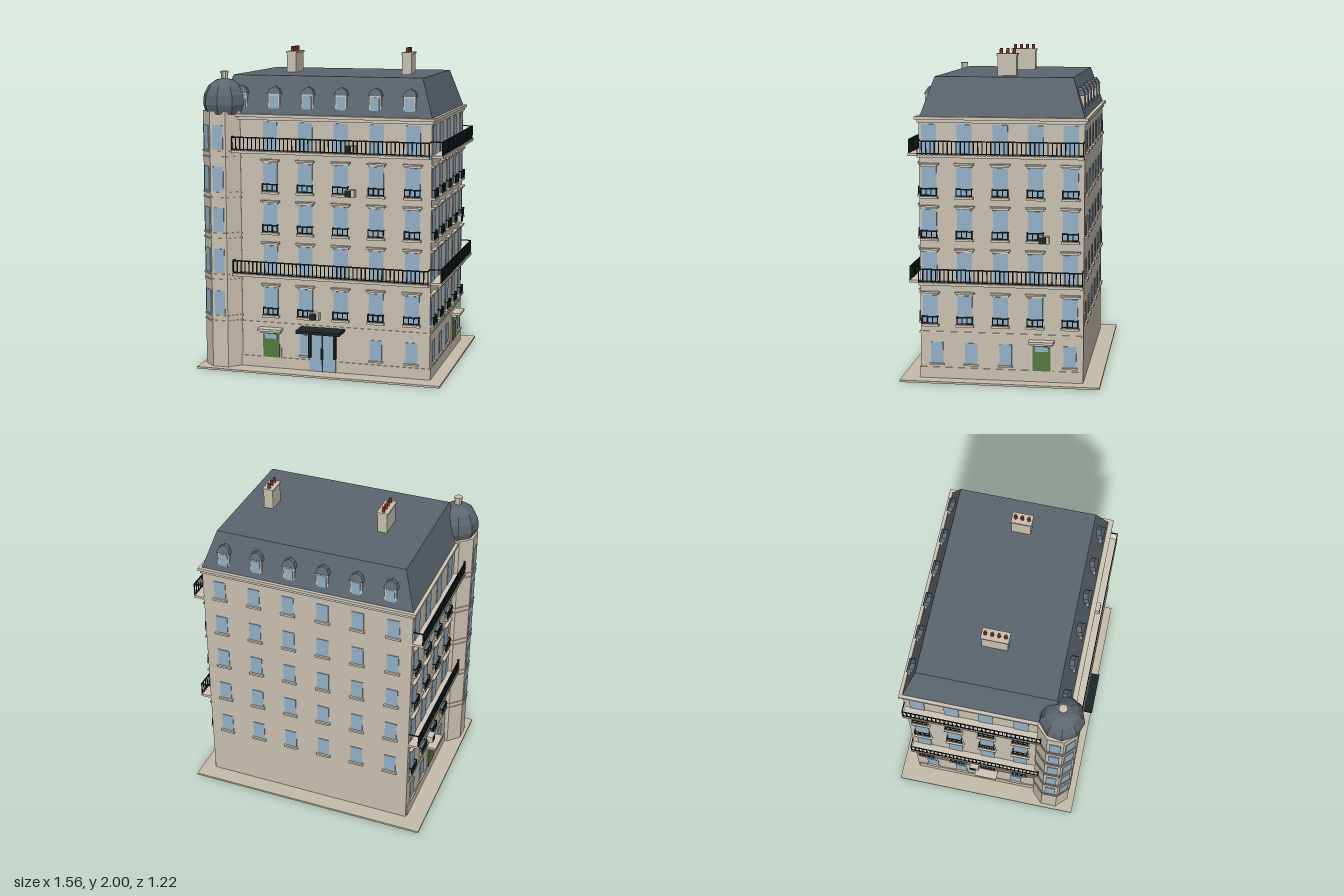
import * as THREE from 'three';
import { mergeGeometries } from 'three/addons/utils/BufferGeometryUtils.js';

const mat = (name, color, extra = {}) => Object.assign(new THREE.MeshStandardMaterial({ color, ...extra }), { name });
const stone = mat('limestone', 0xcbc1b1);
const trim = mat('pale trim', 0xd0c7b8);
const paving = mat('paving', 0xc6bdab);
const slate = mat('slate', 0x5c666f);
const glass = mat('window glass', 0x94b1c8);
const iron = mat('dark iron', 0x1c2626);
const green = mat('green paint', 0x55783f);
const clay = mat('clay pots', 0x7d3226);
slate.flatShading = true;
stone.flatShading = true;

// floor levels, wall extents
const FLOORS = [0.35, 0.615, 0.875, 1.13, 1.385];
const X0 = -0.66, X1 = 0.69, Z0 = -0.51, Z1 = 0.48;

function add(parent, name, geo, material, x = 0, y = 0, z = 0) {
  const m = new THREE.Mesh(geo, material);
  m.name = name;
  m.position.set(x, y, z);
  parent.add(m);
  return m;
}

// box given by its limits
const boxGeo = (x0, x1, y0, y1, z0, z1) =>
  new THREE.BoxGeometry(x1 - x0, y1 - y0, z1 - z0).translate((x0 + x1) / 2, (y0 + y1) / 2, (z0 + z1) / 2);
const box = (p, name, m, ...lim) => add(p, name, boxGeo(...lim), m);

// railing with posts, standing in front of the facade and returning to it
function railing(p, name, x0, x1, y, h, z, gap, t) {
  const parts = [
    boxGeo(x0, x1, y + h - t * 1.3, y + h, z - t, z),
    boxGeo(x0, x1, y + 0.004, y + 0.004 + t, z - t, z),
  ];
  const n = Math.max(2, Math.round((x1 - x0) / gap));
  for (let i = 0; i <= n; i++) {
    const x = x0 + t / 2 + (x1 - x0 - t) * i / n;
    parts.push(boxGeo(x - t / 2, x + t / 2, y, y + h, z - t, z));
  }
  for (const x of [x0, x1 - t]) parts.push(boxGeo(x, x + t, y + h - t, y + h, 0, z));
  add(p, name, mergeGeometries(parts), iron);
}

function tallWindow(p, x, f, level) {
  box(p, 'windowGlass', glass, x - 0.045, x + 0.045, f, f + 0.175, 0, 0.004);
  const balcony = level === 1 || level === 4;
  if (level < 4) {
    box(p, 'windowHood', trim, x - 0.06, x + 0.06, f + 0.19, f + 0.2, 0, 0.022);
    box(p, 'hoodBase', trim, x - 0.05, x + 0.05, f + 0.178, f + 0.19, 0, 0.012);
  }
  if (!balcony) {
    box(p, 'windowSill', trim, x - 0.055, x + 0.055, f - 0.014, f, 0, 0.024);
    railing(p, 'windowRail', x - 0.05, x + 0.05, f, 0.05, 0.022, 0.033, 0.006);
  }
}

function groundWindow(p, x) {
  box(p, 'groundGlass', glass, x - 0.038, x + 0.038, 0.105, 0.235, 0, 0.004);
  box(p, 'groundSill', trim, x - 0.045, x + 0.045, 0.095, 0.105, 0, 0.015);
}

function greenDoor(p, x) {
  box(p, 'doorSurround', trim, x - 0.065, x + 0.065, 0.08, 0.25, 0, 0.006);
  box(p, 'doorLeaf', green, x - 0.054, x + 0.054, 0.08, 0.235, 0, 0.01);
  box(p, 'doorLight', glass, x - 0.04, x + 0.04, 0.2, 0.23, 0.01, 0.013);
  box(p, 'doorHood', trim, x - 0.075, x + 0.075, 0.255, 0.27, 0, 0.06);
  box(p, 'doorHoodBase', trim, x - 0.065, x + 0.065, 0.24, 0.255, 0, 0.035);
}

function airUnit(p, x, y) {
  box(p, 'airUnit', trim, x - 0.03, x + 0.03, y - 0.022, y + 0.022, 0.005, 0.045);
  box(p, 'airUnitFan', iron, x - 0.028, x + 0.012, y - 0.019, y + 0.019, 0.045, 0.049);
}

// decorated street facade, local +z pointing outwards
function streetFacade(p, cols, grounds, doorX, b0, b1, units) {
  FLOORS.forEach((f, level) => {
    cols.forEach((x) => tallWindow(p, x, f, level));
    if (level === 1 || level === 4) {
      box(p, 'balconySlab', trim, b0, b1, f - 0.016, f, 0, 0.07);
      railing(p, 'balconyRail', b0, b1, f, 0.085, 0.066, 0.026, 0.006);
    }
  });
  grounds.forEach((x) => groundWindow(p, x));
  greenDoor(p, doorX);
  units.forEach(([x, y]) => airUnit(p, x, y));
}

// dormer with a hipped roof, local z = 0 at its front
function dormer(p, x) {
  const g = new THREE.Group();
  g.name = 'dormer';
  g.position.x = x;
  p.add(g);
  box(g, 'dormerBody', trim, -0.037, 0.037, 1.62, 1.73, -0.08, -0.006);
  box(g, 'dormerGlass', glass, -0.027, 0.027, 1.64, 1.72, -0.006, -0.003);
  const s = new THREE.Shape([[-0.045, 0], [0.045, 0], [0.03, 0.03], [0, 0.045], [-0.03, 0.03]].map((c) => new THREE.Vector2(...c)));
  const geo = new THREE.ExtrudeGeometry(s, { depth: 0.085, bevelEnabled: false });
  const q = geo.attributes.position;
  for (let i = 0; i < q.count; i++) if (q.getZ(i) > 0.05 && q.getY(i) > 0.01) q.setZ(i, 0.085 - q.getY(i) * 0.5);
  geo.computeVertexNormals();
  add(g, 'dormerRoof', geo, slate, 0, 1.73, -0.085);
}

function facadeGroup(root, name, x, z, turn) {
  const g = new THREE.Group();
  g.name = name;
  g.position.set(x, 0, z);
  g.rotation.y = turn;
  root.add(g);
  return g;
}

export function createModel() {
  const root = new THREE.Group();
  root.name = 'cornerBuilding';

  // ground and main walls
  box(root, 'pavement', paving, -0.78, 0.776, 0, 0.012, -0.615, 0.597);
  box(root, 'walls', stone, X0, X1, 0.01, 1.58, Z0, Z1);
  box(root, 'plinth', stone, X0 - 0.006, X1 + 0.006, 0.01, 0.08, Z0 + 0.01, Z1 + 0.006);
  box(root, 'stringCourse', trim, X0 - 0.006, X1 + 0.006, 0.293, 0.303, Z0 + 0.01, Z1 + 0.006);
  box(root, 'corniceLower', trim, X0 - 0.01, X1 + 0.01, 1.57, 1.588, Z0 - 0.01, Z1 + 0.01);
  box(root, 'cornice', trim, X0 - 0.02, X1 + 0.02, 1.588, 1.606, Z0 - 0.02, Z1 + 0.025);

  // mansard roof: a box narrowed at the top
  const roof = boxGeo(X0, X1, 1.605, 1.838, Z0, Z1 - 0.005);
  const rp = roof.attributes.position;
  for (let i = 0; i < rp.count; i++) {
    if (rp.getY(i) < 1.7) continue;
    rp.setX(i, rp.getX(i) > 0 ? 0.612 : -0.583);
    rp.setZ(i, rp.getZ(i) > 0 ? 0.397 : -0.433);
  }
  roof.computeVertexNormals();
  add(root, 'mansardRoof', roof, slate);

  // street facades
  const front = facadeGroup(root, 'frontFacade', 0, Z1, 0);
  streetFacade(front, [-0.32, -0.095, 0.13, 0.353, 0.577], [-0.095, 0.353, 0.577], -0.32, -0.55, 0.69,
    [[0.195, 1.41], [0.195, 1.142], [-0.03, 0.366]]);
  const right = facadeGroup(root, 'rightFacade', X1, 0, Math.PI / 2);
  streetFacade(right, [-0.42, -0.207, 0.01, 0.22, 0.43], [-0.38, -0.17, 0.04, 0.43], 0.26, -0.48, 0.51,
    [[0.275, 0.885]]);
  const left = facadeGroup(root, 'leftFacade', X0, 0, -Math.PI / 2);
  streetFacade(left, [-0.43, -0.22, -0.01, 0.207], [-0.4, -0.2, 0.18], -0.02, -0.51, 0.34,
    [[-0.1, 0.366]]);

  // plain rear facade
  const back = facadeGroup(root, 'backFacade', 0, Z0, Math.PI);
  for (const f of FLOORS) for (let i = 0; i < 6; i++) {
    const x = -0.577 + i * 0.224;
    box(back, 'rearGlass', glass, x - 0.038, x + 0.038, f + 0.02, f + 0.14, 0, 0.004);
    box(back, 'rearSill', trim, x - 0.047, x + 0.047, f + 0.007, f + 0.02, 0, 0.016);
  }

  // dormers front and back
  const fd = facadeGroup(root, 'frontDormers', 0, 0.467, 0);
  const bd = facadeGroup(root, 'backDormers', 0, -0.502, Math.PI);
  for (let i = 0; i < 6; i++) {
    const x = -0.512 + i * 0.212;
    dormer(fd, x);
    dormer(bd, -x);
  }

  // main entrance with canopy
  const e = new THREE.Group();
  e.name = 'entrance';
  e.position.set(0.015, 0, Z1);
  root.add(e);
  box(e, 'entranceGlass', glass, -0.085, 0.085, 0.012, 0.25, 0, 0.012);
  for (const s of [-1, 1]) {
    box(e, 'entrancePost', iron, s * 0.08 - 0.008, s * 0.08 + 0.008, 0.1, 0.27, 0, 0.03);
    box(e, 'doorHandle', iron, s * 0.009 - 0.002, s * 0.009 + 0.002, 0.09, 0.16, 0.012, 0.018);
  }
  box(e, 'entranceMullion', iron, -0.004, 0.004, 0.012, 0.25, 0, 0.016);
  box(e, 'entranceLintel', iron, -0.088, 0.088, 0.25, 0.272, 0, 0.03);
  box(e, 'canopy', iron, -0.14, 0.14, 0.274, 0.292, 0, 0.125);

  // corner tower with eight sides
  const tower = new THREE.Group();
  tower.name = 'cornerTower';
  tower.position.set(-0.635, 0, 0.43);
  root.add(tower);
  const ap = 0.122;
  const octagon = (r, h) => new THREE.CylinderGeometry(r / Math.cos(Math.PI / 8), r / Math.cos(Math.PI / 8), h, 8).rotateY(Math.PI / 8);
  add(tower, 'towerShaft', octagon(ap, 1.61), stone, 0, 0.815, 0);
  for (const f of FLOORS) {
    for (const d of [-0.012, -0.045]) add(tower, 'towerBand', octagon(ap + 0.005, 0.009), stone, 0, f + d, 0);
    for (let k = 0; k < 3; k++) {
      const w = facadeGroup(tower, 'towerWindow', 0, 0, -k * Math.PI / 4);
      box(w, 'towerGlass', glass, -0.034, 0.034, f, f + 0.15, ap, ap + 0.004);
    }
  }
  const dome = [[0.118, 1.6], [0.136, 1.66], [0.13, 1.72], [0.1, 1.775], [0.05, 1.81], [0, 1.82]].map((c) => new THREE.Vector2(...c));
  add(tower, 'towerDome', new THREE.LatheGeometry(dome, 9), slate, 0.008, 0, 0.01);
  add(tower, 'finial', new THREE.CylinderGeometry(0.022, 0.022, 0.06, 10), stone, 0.008, 1.825, 0.01);
  add(tower, 'finialCap', new THREE.CylinderGeometry(0.026, 0.026, 0.012, 10), stone, 0.008, 1.856, 0.01);

  // chimneys with clay pots
  for (const [x, z0, z1, n] of [[-0.315, -0.095, 0.06, 4], [0.432, -0.075, 0.04, 3]]) {
    box(root, 'chimneyStack', stone, x - 0.03, x + 0.03, 1.83, 1.96, z0, z1);
    box(root, 'chimneyCap', stone, x - 0.035, x + 0.035, 1.958, 1.97, z0 - 0.005, z1 + 0.005);
    for (let i = 0; i < n; i++)
      add(root, 'chimneyPot', new THREE.CylinderGeometry(0.009, 0.011, 0.032, 8), clay, x, 1.984, (z0 + z1) / 2 + (i - (n - 1) / 2) * 0.04);
  }
  return root;
}
